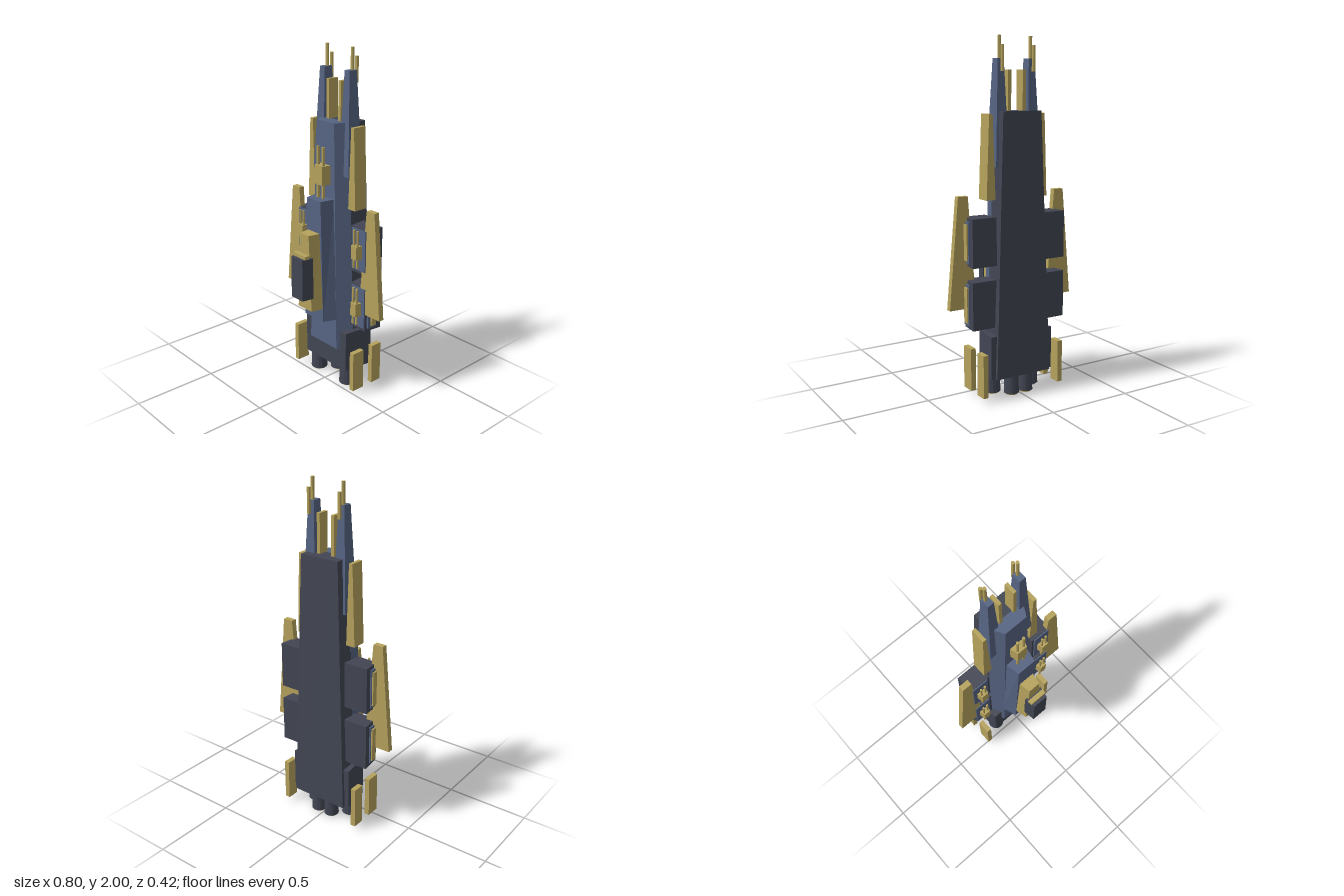
import * as THREE from 'three';

const mat = (name, color) => {
  const m = new THREE.MeshStandardMaterial({ color, flatShading: true });
  m.name = name;
  return m;
};

export function createModel() {
  const ship = new THREE.Group();
  ship.name = 'spaceship';
  const blue = mat('slate blue', 0x566482);
  const dark = mat('dark grey', 0x424653);
  const gold = mat('muted gold', 0xb5a25c);

  // Tapered block between two heights; each end is [centreX, halfBack, halfFront, zBack, zFront]
  function block(name, material, y0, y1, bottom, top = bottom, side = 1) {
    const geo = new THREE.BoxGeometry(2, 2, 2);
    const p = geo.attributes.position;
    for (let i = 0; i < p.count; i++) {
      const [cx, hb, hf, zb, zf] = p.getY(i) < 0 ? bottom : top;
      const front = p.getZ(i) > 0;
      p.setXYZ(i, side * cx + p.getX(i) * (front ? hf : hb), p.getY(i) < 0 ? y0 : y1, front ? zf : zb);
    }
    geo.computeVertexNormals();
    const mesh = new THREE.Mesh(geo, material);
    mesh.name = name;
    ship.add(mesh);
  }

  // Upright cylinder between two heights
  function rod(name, material, x, z, y0, y1, r0, r1 = r0, sides = 8) {
    const mesh = new THREE.Mesh(new THREE.CylinderGeometry(r1, r0, y1 - y0, sides), material);
    mesh.position.set(x, (y0 + y1) / 2, z);
    mesh.name = name;
    ship.add(mesh);
  }

  // Hull layers
  block('lowerHull', dark, 0.12, 1.6, [0, 0.175, 0.165, -0.21, -0.08], [0, 0.122, 0.112, -0.187, -0.08]);
  block('upperHull', blue, 0.25, 1.6, [0, 0.165, 0.115, -0.08, 0.01], [0, 0.112, 0.07, -0.08, -0.005]);
  block('engineBlock', dark, 0.12, 0.365, [0, 0.2, 0.175, -0.188, -0.01]);
  block('superstructure', blue, 0.44, 1.17, [0, 0.115, 0.08, -0.005, 0.083], [0, 0.075, 0.058, -0.005, 0.083]);

  // Command tower
  block('towerBase', gold, 0.52, 0.98, [0, 0.077, 0.058, 0.08, 0.152], [0, 0.05, 0.036, 0.08, 0.152]);
  block('bridge', dark, 0.6, 0.85, [0, 0.06, 0.048, 0.14, 0.21]);
  block('bridgeCap', gold, 0.85, 0.87, [0, 0.057, 0.053, 0.163, 0.192]);

  // Forward turret
  block('mainTurret', gold, 1.25, 1.36, [0, 0.046, 0.032, -0.005, 0.047]);
  for (const x of [-0.021, 0.021]) rod('mainTurretBarrel', gold, x, 0.03, 1.17, 1.465, 0.009);

  for (const s of [1, -1]) {
    // Bow prongs with two barrels each
    block('prong', blue, 1.3, 1.88, [0.103, 0.042, 0.042, -0.15, -0.045], [0.099, 0.019, 0.019, -0.123, -0.07], s);
    rod('longProngBarrel', gold, s * 0.1, -0.108, 1.85, 2, 0.01);
    rod('shortProngBarrel', gold, s * 0.1, -0.14, 1.81, 1.95, 0.01);

    // Fins and wings
    block('bowFin', gold, 1.58, 1.82, [0.047, 0.01, 0.01, -0.13, -0.065], undefined, s);
    block('foreFin', gold, 1.12, 1.585, [0.168, 0.028, 0.028, -0.135, -0.05], [0.168, 0.011, 0.011, -0.135, -0.05], s);
    block('wing', gold, 0.52, 1.145, [0.318, 0.083, 0.083, -0.085, -0.051], [0.315, 0.03, 0.03, -0.085, -0.051], s);
    block('frontTailFin', gold, 0.03, 0.275, [0.248, 0.015, 0.015, -0.07, 0.012], undefined, s);
    block('backTailFin', gold, 0.03, 0.275, [0.248, 0.015, 0.015, -0.21, -0.14], undefined, s);

    // Side gun pods
    for (const y of [0.76, 0.41]) {
      block('gunPod', dark, y, y + 0.27, [0.225, 0.075, 0.062, -0.163, -0.052], undefined, s);
      block('podFrontPlate', blue, y + 0.02, y + 0.265, [0.232, 0.055, 0.053, -0.052, -0.045], undefined, s);
      block('podSidePlate', blue, y + 0.02, y + 0.25, [0.295, 0.009, 0.006, -0.125, -0.065], undefined, s);
      block('podSideStrip', gold, y + 0.035, y + 0.235, [0.3, 0.012, 0.012, -0.118, -0.083], undefined, s);
      block('podTurret', gold, y + 0.095, y + 0.175, [0.231, 0.031, 0.021, -0.046, -0.009], undefined, s);
      for (const dx of [-0.014, 0.014]) {
        rod('podBarrel', gold, s * 0.231 + dx, -0.025, y + 0.04, y + 0.265, 0.007);
      }
    }

    // Engines with glowing nozzles
    for (const [x, z, r] of [[0.128, -0.07, 0.05], [0.046, -0.15, 0.044]]) {
      rod('engine', dark, s * x, z, 0.008, 0.13, r, r * 0.9, 16);
      rod('engineGlow', gold, s * x, z, 0, 0.009, r * 0.8, r * 0.8, 16);
    }
  }
  return ship;
}
